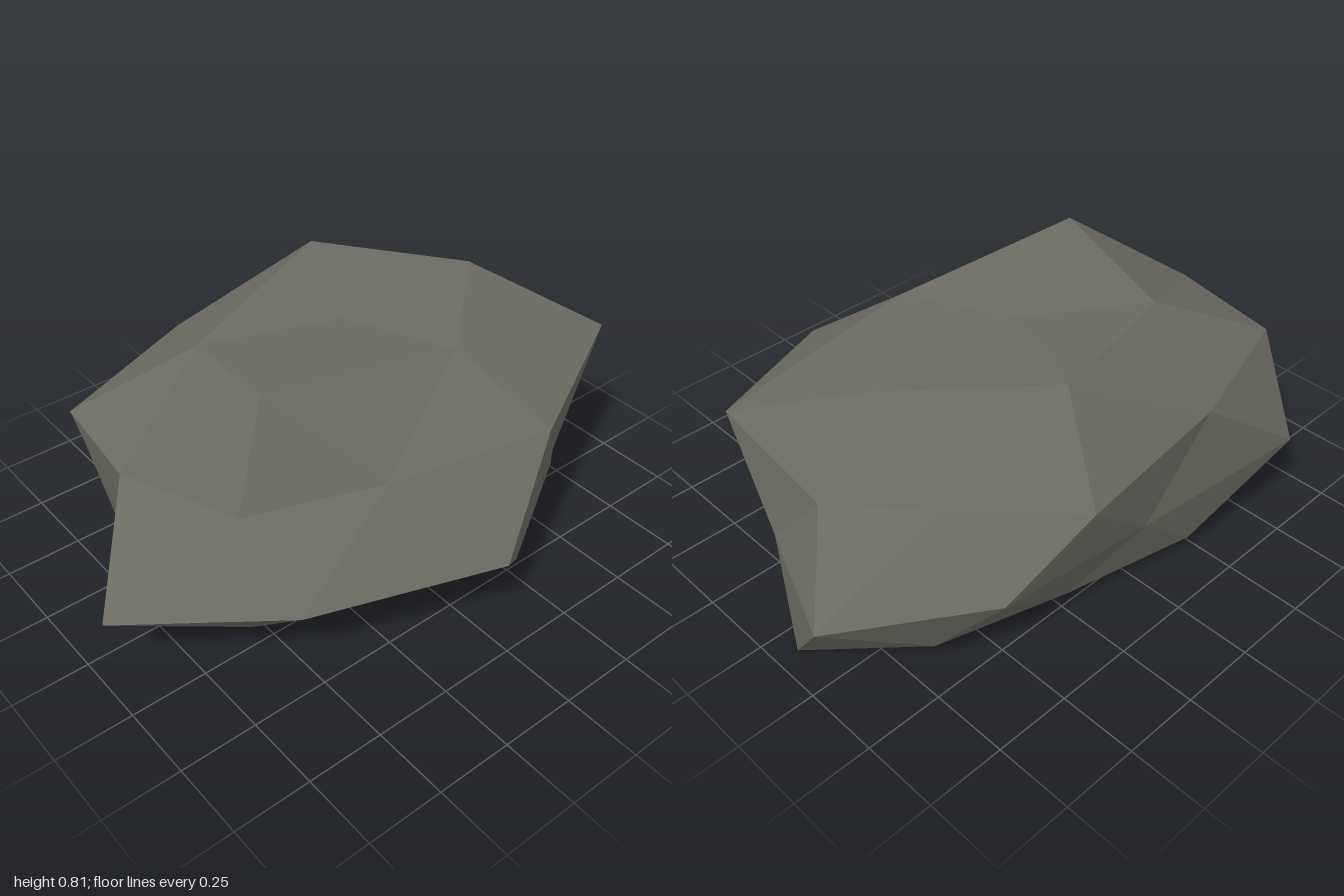
import * as THREE from 'three';

// A faceted boulder: a two-step icosphere, squashed, with one radius per vertex and a flattened base.
const CENTRE = new THREE.Vector3(0.04, 0.28, -0.085);
const SCALE = new THREE.Vector3(1, 0.55, 0.685);

// Radii around each ring, going from +x towards +z
const CROWN = [1.027, 1.0, 1.129, 0.94, 1.11];
const SHOULDER = [0.85, 1.134, 1.074, 0.913, 0.857, 0.952, 1.05, 0.985, 1.013, 0.8];
const WAIST = [0.845, 0.855, 1.13, 1.02, 1.094, 0.79, 1.085, 0.795, 0.89, 1.01];
const SKIRT = [1.046, 0.93, 1.027, 0.75, 0.86, 0.827, 0.96, 0.9, 0.77, 0.87];
const BASE = [1, 1.17, 1, 1.04, 1];

// Point on the boulder; heights below ground are flattened to y = 0
function point(r, degrees, dirY) {
  const a = THREE.MathUtils.degToRad(degrees);
  const flat = Math.sqrt(1 - dirY * dirY);
  const p = new THREE.Vector3(Math.cos(a) * flat, dirY, Math.sin(a) * flat);
  p.multiplyScalar(r).multiply(SCALE).add(CENTRE);
  p.y = Math.max(p.y, 0);
  return p;
}

function boulderGeometry() {
  const top = point(0.865, 0, 1);
  const bottom = point(1, 0, -1);
  const crown = CROWN.map((r, k) => point(r, 72 * k, 0.8507));
  const shoulder = SHOULDER.map((r, j) => point(r, 36 * j, j % 2 ? 0.5257 : 0.4472));
  const waist = WAIST.map((r, j) => point(r, 36 * j + 18, 0));
  const skirt = SKIRT.map((r, j) => point(r, 36 * j, j % 2 ? -0.4472 : -0.5257));
  const base = BASE.map((r, k) => point(r, 72 * k + 36, -0.8507));

  const positions = [];
  // Adds a triangle, turned so that it faces outwards
  const tri = (a, b, c) => {
    const normal = b.clone().sub(a).cross(c.clone().sub(a));
    const out = a.clone().add(b).add(c).divideScalar(3).sub(CENTRE);
    const order = normal.dot(out) < 0 ? [a, c, b] : [a, b, c];
    order.forEach((p) => positions.push(p.x, p.y, p.z));
  };

  // Caps: pole fan plus the step out to the ten-sided ring
  const cap = (pole, inner, outer, offset) => {
    for (let k = 0; k < 5; k++) {
      const next = inner[(k + 1) % 5];
      const j = 2 * k + offset;
      const before = outer[(j + 9) % 10];
      const after = outer[(j + 1) % 10];
      tri(pole, inner[k], next);
      tri(inner[k], before, outer[j]);
      tri(inner[k], outer[j], after);
      tri(inner[k], after, next);
    }
  };
  cap(top, crown, shoulder, 0);
  cap(bottom, base, skirt, 1);

  // Side bands above and below the waist
  for (const ring of [shoulder, skirt]) {
    for (let j = 0; j < 10; j++) {
      const n = (j + 1) % 10;
      tri(ring[j], ring[n], waist[j]);
      tri(ring[n], waist[j], waist[n]);
    }
  }

  const geometry = new THREE.BufferGeometry();
  geometry.setAttribute('position', new THREE.Float32BufferAttribute(positions, 3));
  geometry.computeVertexNormals(); // unshared corners give flat facets
  return geometry;
}

export function createModel() {
  const stone = new THREE.MeshStandardMaterial({ color: 0x6b6b62 });
  stone.name = 'stone';
  const boulder = new THREE.Mesh(boulderGeometry(), stone);
  boulder.name = 'boulder';
  const model = new THREE.Group();
  model.name = 'rock';
  model.add(boulder);
  return model;
}
